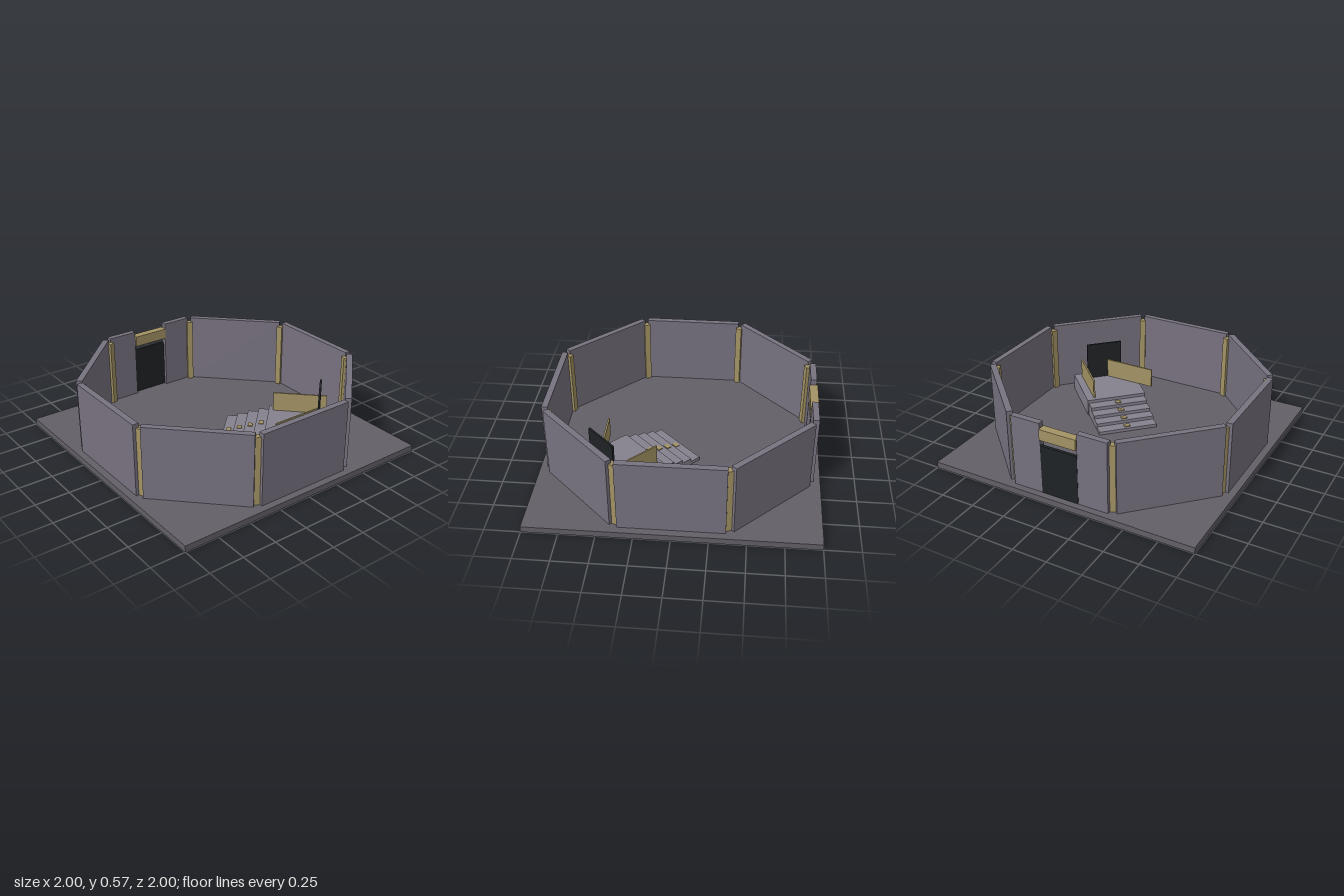
import * as THREE from 'three';

const mat = (color) => new THREE.MeshStandardMaterial({ color });
const WALL = mat(0x77727f), FLOOR = mat(0x625f67), STONE = mat(0x85808d);
const TRIM = mat(0xa39364), DARK = mat(0x1f2225);
const FLOOR_TOP = 0.045, WALL_TOP = 0.575;

// Box standing between heights y0 and y1, turned about the vertical axis
function block(parent, name, material, [w, d], [y0, y1], x, z, turn = 0) {
  const mesh = new THREE.Mesh(new THREE.BoxGeometry(w, y1 - y0, d), material);
  mesh.name = name;
  mesh.position.set(x, (y0 + y1) / 2, z);
  mesh.rotation.y = turn;
  parent.add(mesh);
  return mesh;
}

// Octagonal ring of wall panels with posts in the corner gaps
function buildRing() {
  const ring = new THREE.Group();
  ring.name = 'wallRing';
  const radius = 0.926, length = 0.725, thick = 0.044, doorSide = 6;
  for (let i = 0; i < 8; i++) {
    const a = (i * Math.PI) / 4;
    if (i !== doorSide) {
      block(ring, 'wallPanel', WALL, [length, thick], [FLOOR_TOP, WALL_TOP],
        Math.sin(a) * radius, Math.cos(a) * radius, a);
    }
    const c = a + Math.PI / 8;
    block(ring, 'cornerPost', TRIM, [0.045, 0.045], [FLOOR_TOP, 0.545],
      Math.sin(c) * 0.972, Math.cos(c) * 0.972, c);
  }
  // Doorway side: two short panels, a door and a lintel
  for (const s of [-1, 1]) {
    block(ring, 'doorSidePanel', WALL, [thick, 0.222], [FLOOR_TOP, WALL_TOP], -radius - 0.004, s * 0.251);
  }
  block(ring, 'door', DARK, [0.022, 0.28], [FLOOR_TOP, 0.41], -0.943, 0);
  block(ring, 'lintel', TRIM, [0.06, 0.275], [0.455, 0.535], -0.93, -0.003);
  return ring;
}

// Raised platform with steps, side rails and a screen
function buildDais() {
  const dais = new THREE.Group();
  dais.name = 'dais';
  dais.position.set(0.412, 0, -0.415);
  dais.rotation.y = -Math.PI / 4;
  const top = 0.17, rise = 0.025, tread = 0.08;
  block(dais, 'platform', STONE, [0.46, 0.46], [FLOOR_TOP, top], 0, 0);
  for (let i = 0; i < 4; i++) {
    const y = top - (i + 1) * rise, z = 0.23 + (i + 0.5) * tread;
    block(dais, 'step', STONE, [0.443, tread], [FLOOR_TOP, y], 0, z);
    block(dais, 'stepMarker', TRIM, [0.045, 0.034], [y, y + 0.006], 0, z);
  }
  block(dais, 'leftRail', TRIM, [0.012, 0.395], [top, 0.315], -0.168, 0);
  block(dais, 'rightRail', TRIM, [0.012, 0.395], [top, 0.315], 0.17, 0, Math.PI / 4);
  block(dais, 'screen', DARK, [0.275, 0.014], [top, 0.46], 0, -0.145);
  return dais;
}

export function createModel() {
  const model = new THREE.Group();
  model.name = 'octagonalArena';
  block(model, 'floorSlab', FLOOR, [2, 2], [0, FLOOR_TOP], 0, 0);
  model.add(buildRing(), buildDais());
  return model;
}
